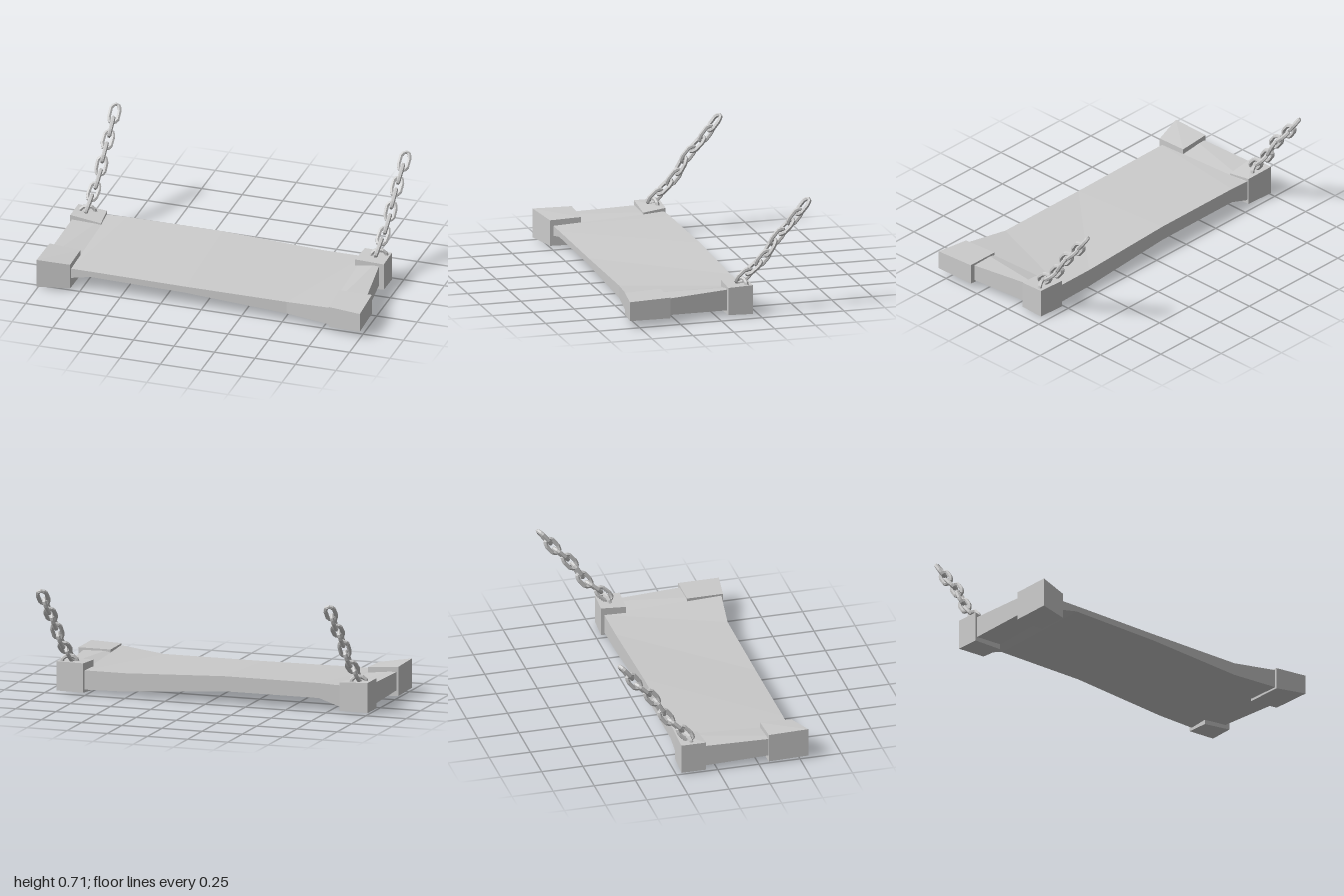
import * as THREE from 'three';

const material = new THREE.MeshStandardMaterial({ color: 0xcccccc, flatShading: true });

// Solid lofted along +x through four-cornered sections:
// [x front, x back, z front, z back, front bottom, front top, back bottom, back top]
function loft(name, sections) {
  const rings = sections.map(([xf, xb, zf, zb, bf, tf, bb, tb]) =>
    [[xf, bf, zf], [xf, tf, zf], [xb, tb, zb], [xb, bb, zb]]);
  const pos = [];
  const quad = (a, b, c, d) => pos.push(...a, ...b, ...c, ...a, ...c, ...d);
  for (let i = 0; i < rings.length - 1; i++) {
    for (let j = 0; j < 4; j++) {
      const k = (j + 1) % 4;
      quad(rings[i][j], rings[i + 1][j], rings[i + 1][k], rings[i][k]);
    }
  }
  const [a, b, c, d] = rings[0];
  quad(a, b, c, d);
  const [e, f, g, h] = rings[rings.length - 1];
  quad(h, g, f, e);
  const geometry = new THREE.BufferGeometry();
  geometry.setAttribute('position', new THREE.Float32BufferAttribute(pos, 3));
  geometry.computeVertexNormals();
  const mesh = new THREE.Mesh(geometry, material);
  mesh.name = name;
  return mesh;
}

// Long eight-cornered chain link, lying along its local y axis
function linkGeometry(length, width, radius) {
  const w = width / 2 - radius, l = length / 2 - radius;
  const corners = [[w, -l * 0.55], [w, l * 0.55], [w * 0.45, l], [-w * 0.45, l],
    [-w, l * 0.55], [-w, -l * 0.55], [-w * 0.45, -l], [w * 0.45, -l]];
  const path = new THREE.CurvePath();
  corners.forEach((p, i) => {
    const q = corners[(i + 1) % corners.length];
    path.add(new THREE.LineCurve3(new THREE.Vector3(...p, 0), new THREE.Vector3(...q, 0)));
  });
  return new THREE.TubeGeometry(path, 16, radius, 6, true);
}

// Chain of alternately turned links following a curve
function chain(name, points) {
  const group = new THREE.Group();
  group.name = name;
  const curve = new THREE.CatmullRomCurve3(points.map(p => new THREE.Vector3(...p)));
  const geometry = linkGeometry(0.135, 0.078, 0.0125);
  const count = 8;
  for (let i = 0; i < count; i++) {
    const t = i / (count - 1);
    const link = new THREE.Mesh(geometry, material);
    link.name = 'chainLink';
    link.position.copy(curve.getPointAt(t));
    const up = curve.getTangentAt(t);
    const side = new THREE.Vector3(1, 0, 0).addScaledVector(up, -up.x).normalize();
    const out = new THREE.Vector3().crossVectors(side, up);
    link.quaternion.setFromRotationMatrix(new THREE.Matrix4().makeBasis(side, up, out));
    link.rotateY(i % 2 ? 0.3 : 0.3 + Math.PI / 2);
    group.add(link);
  }
  return group;
}

// Bent staple holding the chain on its block
function staple(name, x, z) {
  const curve = new THREE.CatmullRomCurve3([[-0.045, 0.175, 0.015], [-0.03, 0.208, 0.01],
    [0.03, 0.208, -0.01], [0.045, 0.175, -0.015]].map(p => new THREE.Vector3(...p)));
  const mesh = new THREE.Mesh(new THREE.TubeGeometry(curve, 6, 0.0125, 6), material);
  mesh.position.set(x, 0, z);
  mesh.name = name;
  return mesh;
}

export function createModel() {
  const model = new THREE.Group();
  model.name = 'swing';

  // Warped seat board
  model.add(loft('seatBoard', [
    [-0.99, -0.99, 0.48, -0.2, 0.05, 0.15, 0.03, 0.165],
    [-0.81, -0.81, 0.48, -0.2, 0.07, 0.13, 0.035, 0.16],
    [-0.69, -0.69, 0.48, -0.2, 0.095, 0.13, 0.075, 0.165],
    [-0.1, -0.1, 0.48, -0.2, 0.085, 0.125, 0.075, 0.165],
    [0.52, 0.52, 0.48, -0.2, 0.05, 0.125, 0.03, 0.14],
    [0.8, 0.77, 0.52, -0.2, 0.04, 0.15, 0.025, 0.14],
    [0.99, 0.89, 0.53, -0.2, 0.06, 0.145, 0.03, 0.165],
  ]));

  // Uneven corner blocks
  model.add(loft('frontRightBlock', [
    [-1, -1, 0.55, 0.31, 0.015, 0.19, 0.01, 0.185],
    [-0.81, -0.81, 0.5, 0.31, 0.01, 0.165, 0.005, 0.17],
  ]));
  model.add(loft('frontLeftBlock', [
    [0.8, 0.79, 0.53, 0.31, 0.03, 0.16, 0.02, 0.165],
    [1, 0.99, 0.56, 0.31, 0.045, 0.16, 0.04, 0.165],
  ]));
  model.add(loft('backRightBlock', [
    [-1, -1, -0.07, -0.22, 0.01, 0.19, 0.01, 0.19],
    [-0.81, -0.82, -0.07, -0.21, 0.01, 0.165, 0.01, 0.18],
  ]));
  model.add(loft('backLeftBlock', [
    [0.76, 0.77, -0.07, -0.22, 0, 0.18, 0.01, 0.185],
    [0.94, 0.94, -0.06, -0.21, 0.015, 0.18, 0.01, 0.185],
  ]));

  // Chains and their staples
  model.add(staple('rightStaple', -0.925, -0.165), staple('leftStaple', 0.875, -0.165));
  model.add(chain('rightChain', [[-0.92, 0.225, -0.175], [-0.9, 0.34, -0.285],
    [-0.89, 0.47, -0.365], [-0.885, 0.56, -0.45], [-0.88, 0.657, -0.525]]));
  model.add(chain('leftChain', [[0.87, 0.225, -0.175], [0.885, 0.325, -0.285],
    [0.895, 0.45, -0.37], [0.9, 0.535, -0.45], [0.91, 0.63, -0.525]]));
  return model;
}
